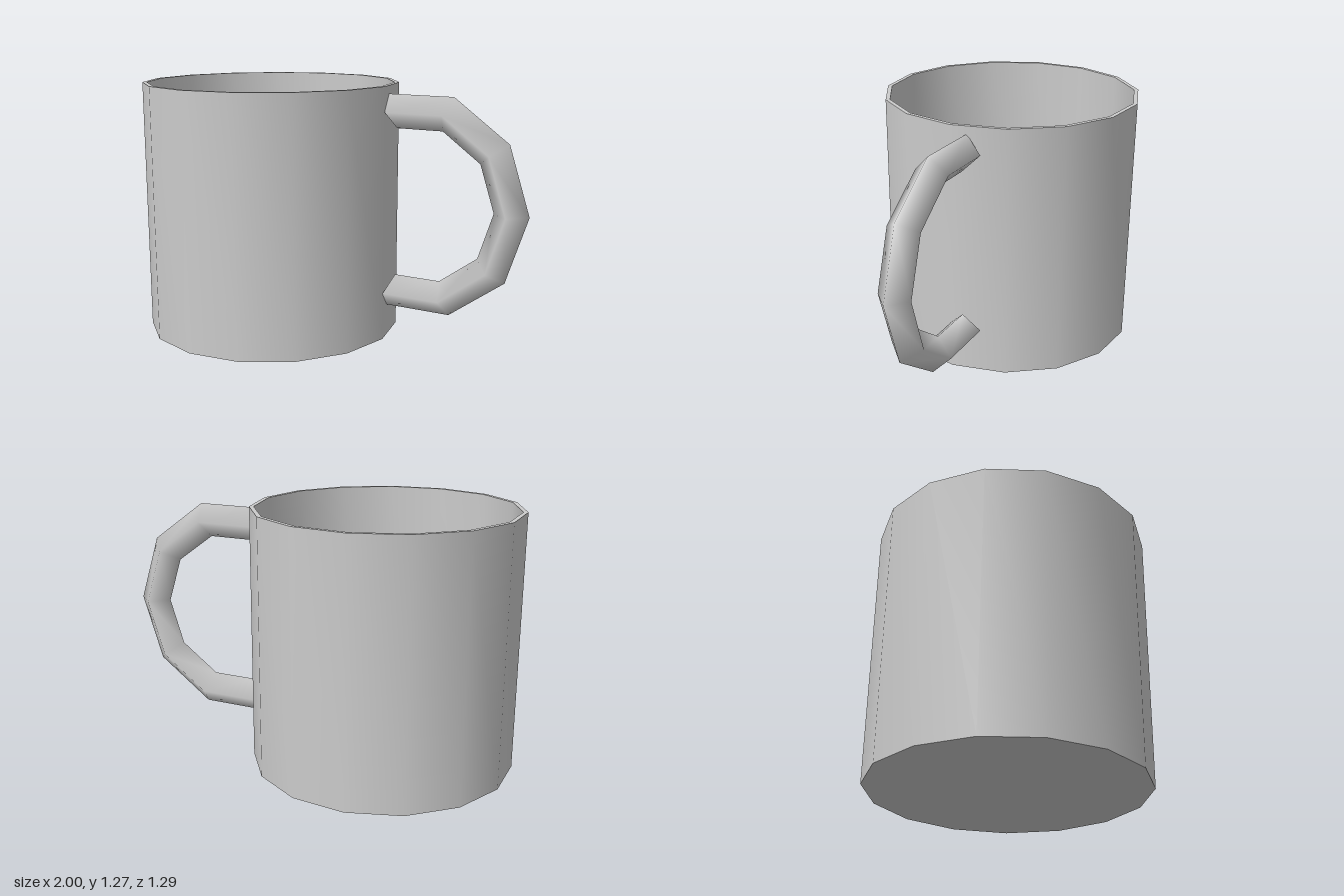
import * as THREE from 'three';
import { toCreasedNormals } from 'three/addons/utils/BufferGeometryUtils.js';

const material = new THREE.MeshStandardMaterial({ color: 0xcccccc });

function part(name, geometry) {
  const mesh = new THREE.Mesh(geometry, material);
  mesh.name = name;
  return mesh;
}

// Thin-walled 15-sided cup, hollow with a closed floor
function createCup() {
  const outer = 0.651, inner = 0.629, height = 1.272, floor = 0.025;
  const profile = [
    [0, 0], [outer, 0], [outer, height], [inner, height], [inner, floor], [0, floor],
  ].map(([x, y]) => new THREE.Vector2(x, y));
  const geometry = new THREE.LatheGeometry(profile, 15, Math.PI / 2);
  const cup = part('cup', toCreasedNormals(geometry, 0.6));
  cup.position.x = -0.364;
  return cup;
}

// Handle: six sides of a ten-sided ring with a diamond cross-section
function createHandle() {
  const ring = 0.476, tube = 0.087, arc = Math.PI * 1.2;
  const handle = new THREE.Group();
  handle.name = 'handle';
  handle.add(part('handleLoop', new THREE.TorusGeometry(ring, tube, 4, 6, arc)));

  // Flat caps closing the two ends
  for (const [name, angle, turn] of [['lowerEnd', 0, 1], ['upperEnd', arc, -1]]) {
    const pivot = new THREE.Group();
    pivot.name = name;
    pivot.rotation.z = angle;
    const cap = part(name + 'Cap', new THREE.CircleGeometry(tube, 4));
    cap.position.x = ring;
    cap.rotation.x = turn * Math.PI / 2;
    pivot.add(cap);
    handle.add(pivot);
  }

  handle.rotation.z = -arc / 2;
  handle.scale.z = 0.96;
  handle.position.set(0.437, 0.696, -0.075);
  return handle;
}

export function createModel() {
  const mug = new THREE.Group();
  mug.name = 'mug';
  mug.add(createCup(), createHandle());
  return mug;
}
